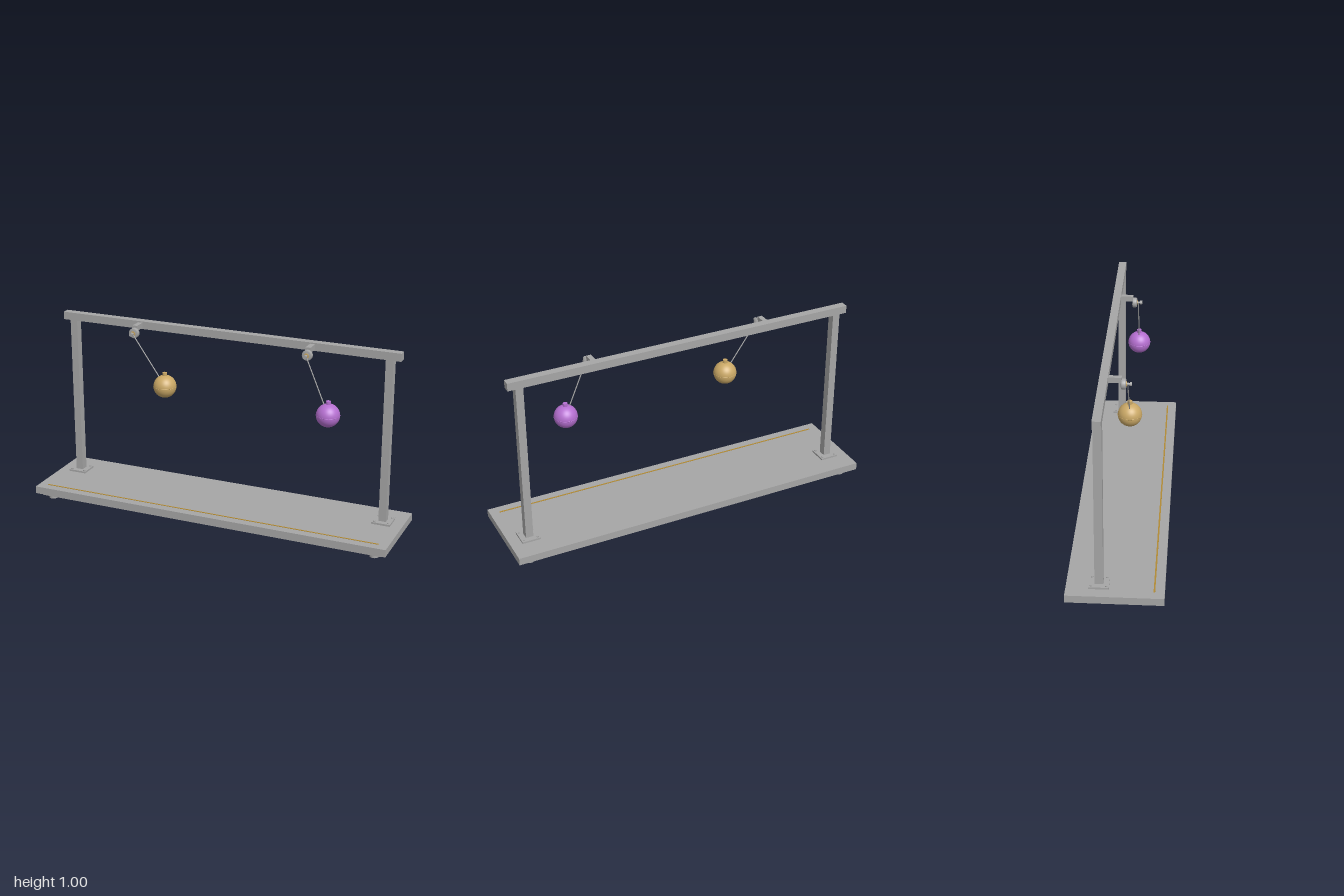
import * as THREE from 'three';

const paint = (name, color) => {
  const m = new THREE.MeshStandardMaterial({ color });
  m.name = name;
  return m;
};

export function createModel() {
  const model = new THREE.Group();
  model.name = 'pendulumStand';
  const grey = paint('brushedGrey', 0xa6a6a6);
  const gold = paint('gold', 0xcaa866);
  const violet = paint('violet', 0xb56fd0);
  const brass = paint('brassLine', 0xb08a35);

  const add = (parent, name, geometry, material, x, y, z) => {
    const mesh = new THREE.Mesh(geometry, material);
    mesh.name = name;
    mesh.position.set(x, y, z);
    parent.add(mesh);
    return mesh;
  };
  const box = (name, mat, w, h, d, x, y, z) =>
    add(model, name, new THREE.BoxGeometry(w, h, d), mat, x, y, z);
  const cyl = (name, mat, r, h, x, y, z, sides = 32) =>
    add(model, name, new THREE.CylinderGeometry(r, r, h, sides), mat, x, y, z);
  // cylinder whose axis runs along z
  const disc = (name, mat, r, z0, z1, x, y, sides = 32) => {
    const mesh = cyl(name, mat, r, z1 - z0, x, y, (z0 + z1) / 2, sides);
    mesh.rotation.x = Math.PI / 2;
    return mesh;
  };
  // open rectangular frame of four thin walls
  const frame = (name, hx, hz, y0, y1, t) => {
    const y = (y0 + y1) / 2, h = y1 - y0;
    for (const s of [-1, 1]) {
      box(name + 'LongWall', grey, 2 * hx, h, t, 0, y, s * (hz - t / 2));
      box(name + 'EndWall', grey, t, h, 2 * (hz - t), s * (hx - t / 2), y, 0);
    }
  };

  // Base: hollow tray, lower skirt, inlaid line and feet
  box('baseTop', grey, 2, 0.004, 0.48, 0, 0.073, 0);
  frame('base', 1, 0.24, 0.035, 0.071, 0.004);
  frame('skirt', 0.97, 0.212, 0.018, 0.03, 0.004);
  box('baseLine', brass, 1.9, 0.0065, 0.008, 0, 0.0735, 0.19);
  for (const sx of [-1, 1])
    for (const sz of [-1, 1])
      cyl('foot', grey, 0.024, 0.013, sx * 0.925, 0.0065, sz * 0.178);

  // Posts on bolted plates, joined by a crossbar
  const barZ = -0.08;
  for (const s of [-1, 1]) {
    const x = s * 0.89;
    box('postPlate', grey, 0.1, 0.01, 0.1, x, 0.08, barZ);
    box('post', grey, 0.04, 0.875, 0.042, x, 0.5225, barZ);
    for (const bx of [-1, 1])
      for (const bz of [-1, 1])
        cyl('bolt', grey, 0.006, 0.005, x + bx * 0.037, 0.0875, barZ + bz * 0.037, 12);
  }
  box('crossbar', grey, 1.9, 0.042, 0.042, 0, 0.979, barZ);

  // Hanging bobs
  const stringZ = 0.034, pivotY = 0.955;
  const hang = (name, mat, pivotX, bobX, bobY) => {
    box('arm', grey, 0.026, 0.028, 0.066, pivotX, 0.979, -0.027);
    // rounded pulley turned around z
    const profile = [[0, 0], [0.024, 0], [0.027, 0.004], [0.027, 0.02], [0.023, 0.025], [0, 0.025]]
      .map(([r, h]) => new THREE.Vector2(r, h));
    const pulley = add(model, 'pivotDisc', new THREE.LatheGeometry(profile, 32), grey, pivotX, pivotY, 0.002);
    pulley.rotation.x = Math.PI / 2;
    disc('pivotPin', grey, 0.006, 0.02, 0.045, pivotX, pivotY);
    disc('pivotWasher', gold, 0.013, 0.027, 0.03, pivotX, pivotY);
    disc('pivotKnob', grey, 0.011, 0.044, 0.055, pivotX, pivotY, 6);

    // string from pin to the bob's centre
    const from = new THREE.Vector3(pivotX, pivotY, stringZ);
    const to = new THREE.Vector3(bobX, bobY, stringZ);
    const string = add(model, 'string',
      new THREE.CylinderGeometry(0.003, 0.003, from.distanceTo(to), 10), grey,
      (from.x + to.x) / 2, (from.y + to.y) / 2, stringZ);
    string.quaternion.setFromUnitVectors(new THREE.Vector3(0, 1, 0), from.sub(to).normalize());

    const bob = new THREE.Group();
    bob.name = name;
    bob.position.copy(to);
    model.add(bob);
    add(bob, 'ball', new THREE.SphereGeometry(0.061, 48, 32), mat, 0, 0, 0);
    add(bob, 'cap', new THREE.CylinderGeometry(0.0125, 0.0125, 0.022, 24), mat, 0, 0.065, 0);
    const seam = add(bob, 'seam', new THREE.TorusGeometry(0.0605, 0.0015, 8, 48), mat, 0, 0, 0);
    seam.rotation.x = Math.PI / 2;
  };
  hang('goldBob', gold, -0.485, -0.3, 0.69);
  hang('violetBob', violet, 0.485, 0.61, 0.66);

  return model;
}
